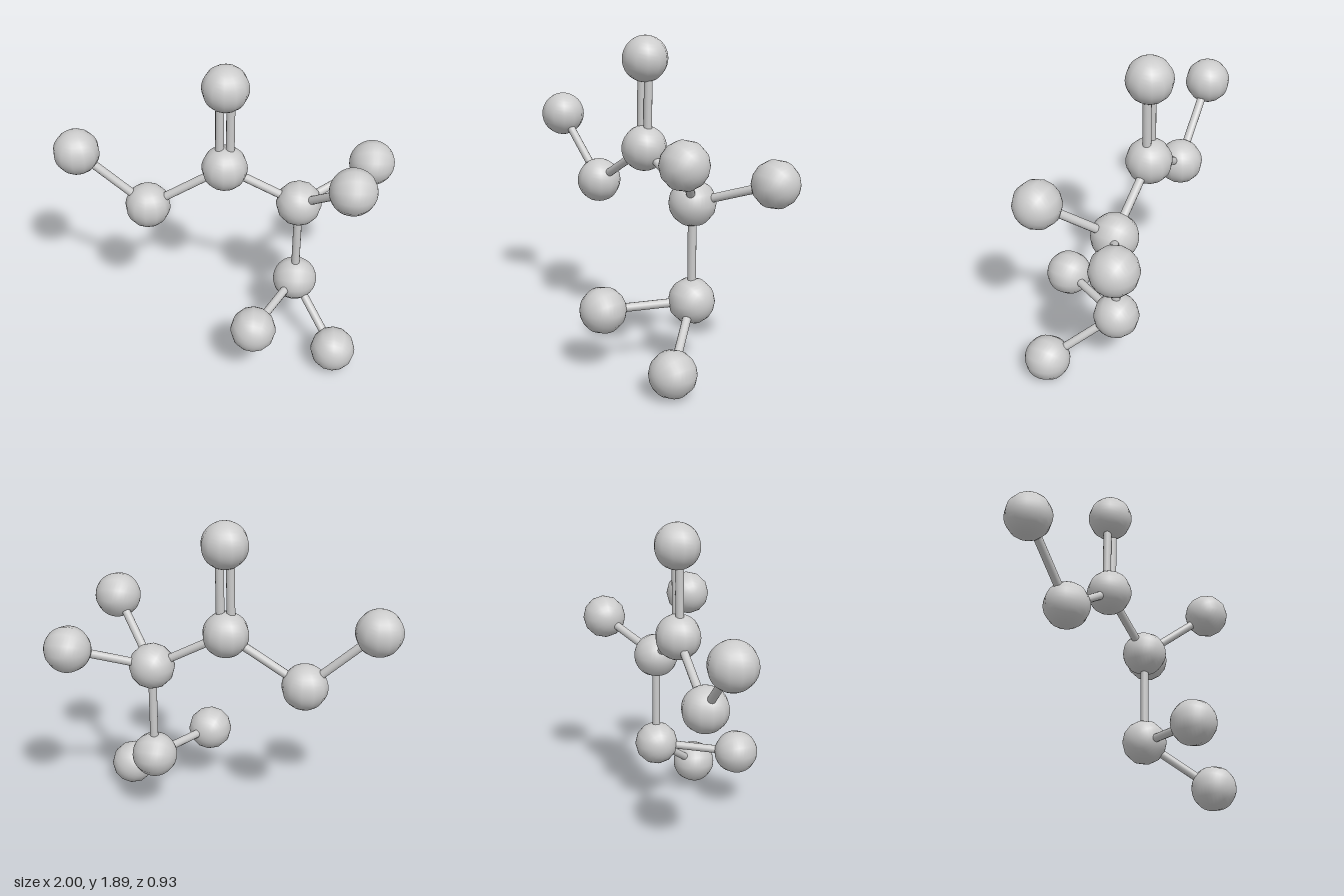
import * as THREE from 'three';

const ATOM_RADIUS = 0.135;
const BOND_RADIUS = 0.025;
const PLANE = -0.115; // depth of the flat chain

// Atoms: centre, and the axis their coarse sphere's poles lie on
const ATOMS = {
  topAtom: [0, 1.76, PLANE, 'y'],
  hubAtom: [-0.005, 1.235, PLANE, 'y'],
  bridgeAtom: [-0.465, 0.95, PLANE, 'y'],
  endAtom: [-0.865, 1.315, PLANE, 'y'],
  branchAtom: [0.435, 1.0, PLANE, 'z'],
  upperFrontAtom: [0.72, 1.31, 0.19, 'x'],
  upperBackAtom: [0.865, 1.16, -0.33, 'x'],
  lowerAtom: [0.435, 0.414, -0.12, 'x'],
  lowerLeftAtom: [0.19, 0.385, 0.33, 'z'],
  lowerRightAtom: [0.68, 0.14, 0.217, 'z'],
};

// Bonds: two atoms, and sideways offsets of the parallel rods
const BONDS = [
  ['hubAtom', 'topAtom', [-0.031, 0.031]],
  ['hubAtom', 'bridgeAtom', [0]],
  ['bridgeAtom', 'endAtom', [0]],
  ['hubAtom', 'branchAtom', [0]],
  ['branchAtom', 'upperFrontAtom', [0]],
  ['branchAtom', 'upperBackAtom', [0]],
  ['branchAtom', 'lowerAtom', [0]],
  ['lowerAtom', 'lowerLeftAtom', [0]],
  ['lowerAtom', 'lowerRightAtom', [0]],
];

export function createModel() {
  const model = new THREE.Group();
  model.name = 'molecule';
  const material = new THREE.MeshStandardMaterial({ color: 0xcccccc });
  const sphere = new THREE.SphereGeometry(ATOM_RADIUS, 12, 18);
  const rod = new THREE.CylinderGeometry(BOND_RADIUS, BOND_RADIUS, 1, 12);
  const up = new THREE.Vector3(0, 1, 0);
  const centre = (name) => new THREE.Vector3(...ATOMS[name].slice(0, 3));

  // Atoms
  for (const [name, [x, y, z, pole]] of Object.entries(ATOMS)) {
    const atom = new THREE.Mesh(sphere, material);
    atom.name = name;
    atom.position.set(x, y, z);
    if (pole === 'x') atom.rotation.z = Math.PI / 2;
    if (pole === 'z') atom.rotation.x = Math.PI / 2;
    model.add(atom);
  }

  // Rods between atom centres; the double bond is a pair side by side
  for (const [from, to, offsets] of BONDS) {
    const a = centre(from);
    const b = centre(to);
    const direction = b.clone().sub(a);
    for (const offset of offsets) {
      const bond = new THREE.Mesh(rod, material);
      bond.name = offsets.length > 1 ? 'doubleBond' : 'bond';
      bond.position.copy(a).add(b).multiplyScalar(0.5);
      bond.position.x += offset;
      bond.scale.y = direction.length();
      bond.quaternion.setFromUnitVectors(up, direction.clone().normalize());
      model.add(bond);
    }
  }
  return model;
}
